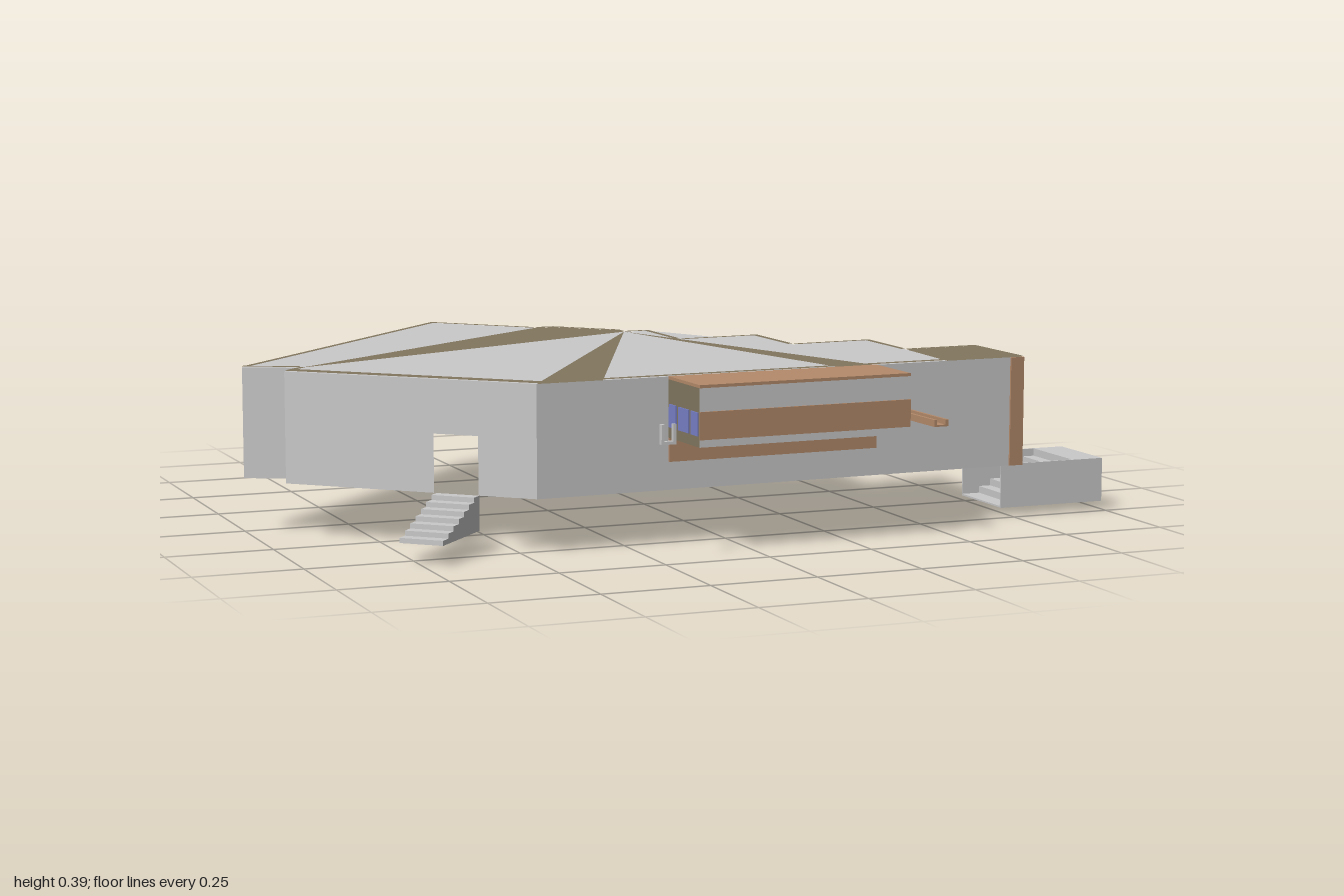
import * as THREE from 'three';

const mat = (name, color) => new THREE.MeshStandardMaterial({ name, color, side: THREE.DoubleSide });

export function createModel() {
  const root = new THREE.Group();
  root.name = 'building';
  const grey = mat('concrete grey', 0xcacaca);
  const brown = mat('dark brown', 0x82765f);
  const tan = mat('timber tan', 0xb58b6b);
  const blue = mat('window blue', 0x7880c8);
  const BOT = 0.125, TOP = 0.384;

  const add = (name, geo, material, parent = root) => {
    const m = new THREE.Mesh(geo, material);
    m.name = name;
    parent.add(m);
    return m;
  };
  const shape = pts => new THREE.Shape(pts.map(([x, y]) => new THREE.Vector2(x, y)));
  // Horizontal polygon given as [x, z] corners
  const flat = (name, pts, y, material) => {
    const g = new THREE.ShapeGeometry(shape(pts.map(([x, z]) => [x, -z])));
    add(name, g.rotateX(-Math.PI / 2).translate(0, y, 0), material);
  };
  // Box given by its minimum and maximum corners
  const box = (name, a, b, material, parent = root) => {
    const g = new THREE.BoxGeometry(b[0] - a[0], b[1] - a[1], b[2] - a[2]);
    g.translate((a[0] + b[0]) / 2, (a[1] + b[1]) / 2, (a[2] + b[2]) / 2);
    return add(name, g, material, parent);
  };
  // Group at [x, z] whose local x axis points along [dx, dz]
  const frame = (name, [x, z], [dx, dz]) => {
    const g = new THREE.Group();
    g.name = name;
    g.position.set(x, 0, z);
    g.rotation.y = Math.atan2(-dz, dx);
    root.add(g);
    return g;
  };

  // Plan corners, clockwise from the west tip
  const A = [-1, 0], B = [-0.31, -0.71], C = [-0.1, -0.5], D = [-0.05, -0.5], E = [0.08, -0.37],
    F = [0.08, -0.335], G = [0.145, -0.335], H = [0.15, -0.13], I = [0.36, -0.14], J = [0.365, 0.07],
    K = [0.575, 0.06], L = [0.575, 0.265], M = [0.765, 0.26], N = [0.77, 0.495], O = [-0.47, 0.53],
    P = [-0.93, 0.11], Q = [-0.88, 0.06];
  const plan = [A, B, C, D, E, F, G, H, I, J, K, L, M, N, O, P, Q];

  // Walls with door notches, and the trim along the roof edge
  const doors = new Map([[O, [0.372, 0.481, 0.26]], [M, [0.02, 0.215, 0.19]]]);
  plan.forEach((p, i) => {
    const q = plan[(i + 1) % plan.length];
    const dx = q[0] - p[0], dz = q[1] - p[1], len = Math.hypot(dx, dz);
    const outline = [[0, BOT]];
    const door = doors.get(p);
    if (door) {
      const [s0, s1, h] = door;
      outline.push([s0, BOT], [s0, h], [s1, h], [s1, BOT]);
    }
    outline.push([len, BOT], [len, TOP], [0, TOP]);
    const wall = frame('wall', q, [-dx, -dz]);
    add('wallPanel', new THREE.ShapeGeometry(shape(outline)), p === C || p === E ? brown : grey, wall);

    const w = p === O ? 0.035 : p === N ? 0.02 : 0.014;
    const ix = -dz / len * w, iz = dx / len * w;
    flat('roofTrim', [p, q, [q[0] + ix, q[1] + iz], [p[0] + ix, p[1] + iz]], TOP + 0.002, brown);
  });

  // Roof fan of grey panels and brown wedges
  const r1 = [-0.31, 0.525], r2 = [0.28, 0.51], r3 = [0.375, 0.505], r4 = [0.565, 0.5];
  [[A, B, C, Q], [Q, F, O, P], [F, r2, r1], [F, G, H, I, J, K, L, r4, r3]]
    .forEach(p => flat('roofPanel', p, TOP, grey));
  [[Q, C, D, E, F], [F, r1, O], [F, r3, r2], [L, M, N, r4]]
    .forEach(p => flat('roofWedge', p, TOP, brown));

  // Projecting bay on the front wall
  const bay = frame('bay', [-0.15, 0.521], [1.24, -0.035]);
  const bw = 0.527, bd = 0.168;
  box('bayBody', [0, 0.245, 0], [bw, 0.378, bd], [brown, brown, tan, brown, grey, brown], bay);
  box('bayRoof', [0, 0.378, 0], [bw, 0.385, bd + 0.002], tan, bay);
  box('bayBand', [0, 0.262, bd], [bw, 0.325, bd + 0.004], tan, bay);
  box('panelBelowBay', [0, 0.19, 0], [bw, 0.245, 0.006], tan, bay);
  for (const x of [-0.003, bw]) {
    for (const [z0, z1] of [[0.008, 0.046], [0.06, 0.114], [0.128, 0.164]]) {
      box('bayWindow', [x, 0.27, z0], [x + 0.003, 0.323, z1], blue, bay);
    }
  }

  // Timber strip at the east end of the front wall
  const strip = frame('cornerStrip', [0.735, 0.496], [1.24, -0.035]);
  box('cornerPanel', [0, BOT, 0], [0.035, TOP, 0.005], tan, strip);

  // Small trough on the right of the bay and bracket on its left
  const trough = frame('trough', [0.437, 0.504], [1.24, -0.035]);
  box('troughFloor', [0, 0.258, 0], [0.036, 0.262, 0.175], tan, trough);
  for (const x of [0, 0.029]) box('troughSide', [x, 0.258, 0], [x + 0.007, 0.274, 0.175], tan, trough);
  box('bracketFloor', [-0.245, 0.26, 0.7], [-0.21, 0.267, 0.713], grey);
  for (const x of [-0.245, -0.217]) box('bracketPost', [x, 0.26, 0.7], [x + 0.007, 0.305, 0.713], grey);

  // Solid flight of steps going down along dir from its top edge centre
  const stairs = (name, origin, dir, length, top, low, base, n, width) => {
    const pts = [[0, base], [0, top]];
    for (let i = 0; i < n; i++) {
      const y = top - (top - low) * i / n, x = length * (i + 1) / n;
      if (i) pts.push([length * i / n, y]);
      pts.push([x, y]);
    }
    pts.push([length, base]);
    const g = new THREE.ExtrudeGeometry(shape(pts), { depth: width, bevelEnabled: false });
    add(name, g.translate(0, 0, -width / 2), grey, frame(name + 'Group', origin, dir));
  };

  // South-west entrance stair
  stairs('sideStair', [-0.612, 0.4], [-0.675, 0.738], 0.2, BOT, 0.045, 0.045, 7, 0.105);

  // North-east stair: upper flight, landing, lower flight and two side flights
  const k = Math.SQRT1_2;
  const at = (t, n) => [0.02 + k * (t + n), -0.433 + k * (t - n)];
  stairs('upperFlight', at(0, 0), [k, -k], 0.08, BOT, 0.06, 0, 5, 0.18);
  stairs('landing', at(0, 0.08), [k, -k], 0.045, 0.06, 0, 0, 1, 0.18);
  stairs('lowerFlight', at(0, 0.125), [k, -k], 0.06, 0.05, 0, 0, 4, 0.18);
  for (const s of [-1, 1]) {
    stairs('sideFlight', at(s * 0.09, 0.102), [s * k, s * k], 0.082, 0.06, 0, 0, 5, 0.045);
  }

  // Sunken east entrance: floor, side walls, landing and steps down to the door
  box('entryFloor', [0.725, 0.02, 0.28], [1, 0.024, 0.478], grey);
  for (const z of [0.28, 0.474]) box('entrySide', [0.725, 0.02, z], [1, BOT, z + 0.004], grey);
  box('entryLanding', [0.92, 0.024, 0.284], [1, BOT, 0.474], grey);
  stairs('entrySteps', [0.92, 0.379], [-1, 0], 0.15, 0.107, 0.024, 0.024, 5, 0.19);

  return root;
}
